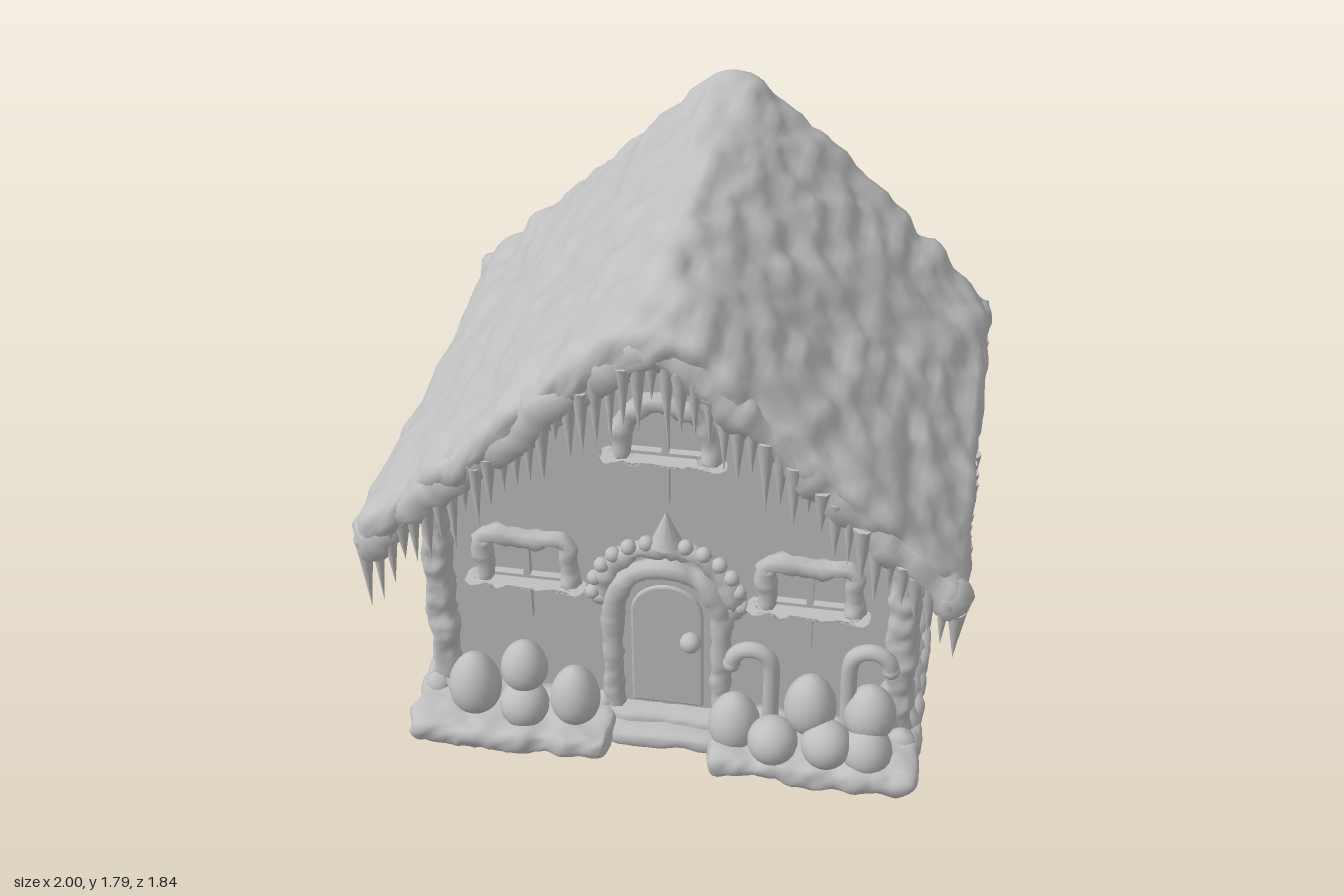
import * as THREE from 'three';
import { mergeVertices, mergeGeometries } from 'three/addons/utils/BufferGeometryUtils.js';

const icing = new THREE.MeshStandardMaterial({ color: 0xbfbfbf });
icing.name = 'grey icing';

const V = (x, y, z) => new THREE.Vector3(x, y, z);

// Smooth repeatable noise in -1..1
const hash = (x, y, z) => { const s = Math.sin(x * 127.1 + y * 311.7 + z * 74.7) * 43758.5453; return s - Math.floor(s); };
function noise(x, y, z) {
  const c = [x, y, z].map(Math.floor);
  const f = [x - c[0], y - c[1], z - c[2]].map(t => t * t * (3 - 2 * t));
  let sum = 0;
  for (let i = 0; i < 8; i++) {
    const b = [i & 1, (i >> 1) & 1, i >> 2];
    sum += hash(c[0] + b[0], c[1] + b[1], c[2] + b[2]) * b.reduce((w, k, n) => w * (k ? f[n] : 1 - f[n]), 1);
  }
  return sum * 2 - 1;
}

// Push vertices in and out along their normals, keeping everything above the ground
function rough(geo, amp, fx, fy = fx, fz = fx) {
  geo.deleteAttribute('uv');
  geo.deleteAttribute('normal');
  geo = mergeVertices(geo);
  geo.computeVertexNormals();
  const p = geo.attributes.position, n = geo.attributes.normal;
  for (let i = 0; i < p.count; i++) {
    const x = p.getX(i), y = p.getY(i), z = p.getZ(i);
    const d = amp * (noise(x * fx, y * fy, z * fz) + 0.4 * noise(x * fx * 2.3 + 9, y * fy * 2.3, z * fz * 2.3));
    p.setXYZ(i, x + n.getX(i) * d, Math.max(0, y + n.getY(i) * d), z + n.getZ(i) * d);
  }
  geo.computeVertexNormals();
  return geo;
}

// Finely divided box with rounded edges
function softBox(w, h, d, r, nx, ny, nz) {
  const geo = new THREE.BoxGeometry(w, h, d, nx, ny, nz);
  const p = geo.attributes.position, v = V(), q = V();
  const inner = V(w / 2 - r, h / 2 - r, d / 2 - r), low = inner.clone().negate();
  for (let i = 0; i < p.count; i++) {
    v.fromBufferAttribute(p, i);
    q.copy(v).clamp(low, inner);
    v.sub(q).setLength(r).add(q);
    p.setXYZ(i, v.x, v.y, v.z);
  }
  return geo;
}

function add(group, name, geo, x = 0, y = 0, z = 0) {
  const mesh = new THREE.Mesh(geo, icing);
  mesh.name = name;
  mesh.position.set(x, y, z);
  group.add(mesh);
  return mesh;
}

// Lumpy piped icing along a polyline, with round ends
function piping(group, name, pts, r, amp = r * 0.45, freq = 22) {
  const path = new THREE.CurvePath();
  for (let i = 1; i < pts.length; i++) path.add(new THREE.LineCurve3(pts[i - 1], pts[i]));
  const segs = Math.max(10, Math.ceil(path.getLength() / 0.02));
  const parts = [rough(new THREE.TubeGeometry(path, segs, r, 8, false), amp, freq)];
  for (const e of [pts[0], pts[pts.length - 1]])
    parts.push(rough(new THREE.SphereGeometry(r * 1.1, 10, 8).translate(e.x, e.y, e.z), amp, freq));
  add(group, name, mergeGeometries(parts));
}

// Outline of an opening: straight sides and an optional arch
function archPoints(hw, bottom, spring, rise, z) {
  const pts = [V(hw, bottom, z)];
  for (let i = 0; i <= 16; i++) {
    const a = i / 16 * Math.PI;
    pts.push(V(hw * Math.cos(a), spring + rise * Math.sin(a), z));
  }
  pts.push(V(-hw, bottom, z));
  return pts;
}
function archPlate(hw, bottom, spring, rise, depth) {
  const shape = new THREE.Shape(archPoints(hw, bottom, spring, rise, 0).map(p => new THREE.Vector2(p.x, p.y)));
  return new THREE.ExtrudeGeometry(shape, { depth, bevelEnabled: true, bevelSize: 0.008, bevelThickness: 0.008, bevelSegments: 2 });
}

// Window on a wall plane at z = 0, facing +z
function makeWindow(hw, hh, arched) {
  const g = new THREE.Group();
  g.name = arched ? 'archedWindow' : 'window';
  const top = arched ? archPoints(hw, -hh, hh - hw, hw * 1.1, 0.03)
    : [V(hw, -hh, 0.03), V(hw, hh, 0.03), V(-hw, hh, 0.03), V(-hw, -hh, 0.03)];
  piping(g, 'windowFrame', top, 0.034);
  piping(g, 'windowSill', [V(-hw - 0.02, -hh, 0.045), V(hw + 0.02, -hh, 0.045)], 0.04);
  add(g, 'windowPost', new THREE.BoxGeometry(0.022, hh * 2, 0.03), 0, 0, 0.012);
  add(g, 'windowBar', new THREE.BoxGeometry(hw * 2, 0.024, 0.03), 0, 0, 0.012);
  return g;
}

// Front or back face: door, trims and three windows
function makeFacade() {
  const g = new THREE.Group();
  g.name = 'facade';
  add(g, 'door', archPlate(0.16, 0.06, 0.5, 0.16, 0.02));
  add(g, 'doorPanel', archPlate(0.115, 0.11, 0.5, 0.115, 0.03));
  add(g, 'doorKnob', new THREE.SphereGeometry(0.036, 16, 12), 0.085, 0.415, 0.065);
  add(g, 'doorStep', rough(softBox(0.4, 0.06, 0.17, 0.025, 16, 4, 8).translate(0, 0.03, 0.08), 0.008, 14));
  piping(g, 'doorFrame', archPoints(0.185, 0.06, 0.5, 0.2, 0.035), 0.036, 0.01);
  piping(g, 'doorArch', archPoints(0.225, 0.55, 0.56, 0.215, 0.02), 0.034);
  for (let i = 0; i <= 12; i++) {
    const a = i / 12 * Math.PI;
    add(g, 'archBead', new THREE.SphereGeometry(0.027, 10, 8), 0.25 * Math.cos(a), 0.57 + 0.235 * Math.sin(a), 0.035);
  }
  add(g, 'archDollop', new THREE.ConeGeometry(0.055, 0.13, 10), 0, 0.86, 0.02);
  for (const s of [-1, 1]) {
    const w = makeWindow(0.145, 0.175, false);
    w.position.set(s * 0.475, 0.59, 0);
    g.add(w);
    piping(g, 'gableTrim', [V(s * 0.77, 0.9, 0.01), V(s * 0.03, 1.54, 0.01)], 0.035);
  }
  const top = makeWindow(0.145, 0.19, true);
  top.position.set(0, 1.15, 0);
  g.add(top);
  return g;
}

const roofTop = x => 1.78 - 0.97 * (Math.hypot(x, 0.1) - 0.1);
const roofDepth = x => 0.19 - 0.05 * Math.abs(x);

function makeRoof() {
  const g = new THREE.Group();
  g.name = 'roof';
  // Thick blanket bent over the ridge
  const geo = softBox(1.95, 0.2, 1.76, 0.07, 84, 8, 76);
  const p = geo.attributes.position;
  for (let i = 0; i < p.count; i++) {
    const x = p.getX(i);
    p.setY(i, roofTop(x) + (p.getY(i) / 0.2 - 0.5) * roofDepth(x));
  }
  add(g, 'roofBlanket', rough(geo, 0.022, 13, 13, 6));
  // Thick rolls on the gable edges
  for (const s of [-1, 1]) {
    const pts = [];
    for (let i = 0; i <= 28; i++) {
      const x = -0.93 + 1.86 * i / 28;
      pts.push(V(x, roofTop(x) - 0.12, s * 0.825));
    }
    piping(g, 'gableIcing', pts, 0.068, 0.024, 13);
  }
  // Hanging icicles
  const icicle = (x, y, z, len, r) => {
    const cone = new THREE.ConeGeometry(r, len, 7, 3);
    cone.rotateX(Math.PI);
    add(g, 'icicle', cone, x, y - len / 2, z);
  };
  for (const s of [-1, 1]) {
    for (let i = 0; i <= 44; i++) {
      const x = -0.95 + 1.9 * i / 44;
      icicle(x, roofTop(x) - 0.13, s * (0.85 + 0.02 * hash(i, s, 1)), 0.13 + 0.15 * hash(i, s, 2), 0.024 + 0.01 * hash(i, s, 3));
    }
    for (let i = 0; i <= 30; i++)
      icicle(s * (0.945 + 0.02 * hash(i, s, 5)), 0.84, -0.84 + 1.68 * i / 30, 0.09 + 0.1 * hash(i, s, 6), 0.025);
    for (const z of [-0.85, 0.85]) icicle(s * 0.955, 0.85, z, 0.2, 0.035);
  }
  return g;
}

// Candies in front: eggs as [x, bottom, z, radius, height]
function makeCandies() {
  const g = new THREE.Group();
  g.name = 'candies';
  const eggs = [[-0.65, 0.08, 0.77, 0.09, 0.24], [-0.475, 0.2, 0.76, 0.08, 0.19], [-0.3, 0.08, 0.77, 0.085, 0.23],
    [-0.475, 0.06, 0.79, 0.085, 0.17], [0.245, 0.04, 0.76, 0.088, 0.22], [0.5, 0.14, 0.75, 0.088, 0.23],
    [0.7, 0.15, 0.75, 0.088, 0.2], [0.7, 0.05, 0.81, 0.085, 0.18], [0.385, 0.06, 0.83, 0.085, 0.17], [0.565, 0.07, 0.83, 0.085, 0.17]];
  for (const [x, y, z, r, h] of eggs) {
    const egg = new THREE.SphereGeometry(1, 20, 16);
    const p = egg.attributes.position;
    for (let i = 0; i < p.count; i++) {
      const k = 1 - 0.14 * p.getY(i) * (h > 2.1 * r ? 1 : 0);
      p.setXYZ(i, p.getX(i) * r * k, p.getY(i) * h / 2, p.getZ(i) * r * k);
    }
    egg.computeVertexNormals();
    add(g, 'gumdrop', egg, x, y + h / 2, z);
  }
  // Canes: stem x, direction of the hook, top height
  for (const [x, s, top] of [[0.365, -1, 0.475], [0.625, 1, 0.52]]) {
    const pts = [V(x, 0.08, 0.74), V(x, 0.25, 0.74)];
    for (let i = 0; i <= 6; i++) {
      const a = i / 6 * Math.PI;
      pts.push(V(x + s * 0.067 * (1 - Math.cos(a)), top - 0.09 + 0.07 * Math.sin(a), 0.74));
    }
    const curve = new THREE.CatmullRomCurve3(pts);
    add(g, 'candyCane', new THREE.TubeGeometry(curve, 40, 0.028, 10));
    const e = pts[pts.length - 1];
    add(g, 'caneTip', new THREE.SphereGeometry(0.03, 12, 10), e.x, e.y, e.z);
  }
  // Snowy mounds under the candies
  for (const x of [-0.52, 0.52])
    add(g, 'mound', rough(softBox(0.7, 0.1, 0.28, 0.045, 36, 6, 16).translate(x, 0.05, 0.765), 0.018, 15));
  return g;
}

export function createModel() {
  const model = new THREE.Group();
  model.name = 'icedCottage';

  // Walls with gables
  const wall = new THREE.Shape([[-0.78, 0.03], [0.78, 0.03], [0.78, 0.97], [0, 1.66], [-0.78, 0.97]].map(([x, y]) => new THREE.Vector2(x, y)));
  add(model, 'walls', new THREE.ExtrudeGeometry(wall, { depth: 1.26, bevelEnabled: false }), 0, 0, -0.63);

  // Base slab and piping around it
  add(model, 'base', rough(softBox(1.74, 0.09, 1.46, 0.03, 70, 4, 60).translate(0, 0.045, 0), 0.008, 16));
  for (const s of [-1, 1]) {
    piping(model, 'baseIcing', [V(s * 0.81, 0.08, -0.68), V(s * 0.81, 0.08, 0.68)], 0.045, 0.014, 18);
    piping(model, 'baseIcing', [V(-0.81, 0.08, s * 0.67), V(-0.22, 0.08, s * 0.67)], 0.04, 0.014, 18);
    piping(model, 'baseIcing', [V(0.22, 0.08, s * 0.67), V(0.81, 0.08, s * 0.67)], 0.04, 0.014, 18);
    // Corner posts
    for (const t of [-1, 1])
      add(model, 'cornerPost', rough(softBox(0.1, 0.9, 0.1, 0.035, 6, 50, 6).translate(s * 0.785, 0.5, t * 0.632), 0.014, 20));
    // Side windows with an icing drip below
    const w = makeWindow(0.2, 0.175, false);
    add(w, 'windowDrip', new THREE.ConeGeometry(0.1, 0.12, 12).rotateX(Math.PI).scale(1, 1, 0.6), 0, -0.25, 0.01);
    w.position.set(s * 0.78, 0.525, 0);
    w.rotation.y = s * Math.PI / 2;
    model.add(w);
    // Front and back faces
    const facade = makeFacade();
    facade.position.z = s * 0.63;
    facade.rotation.y = s > 0 ? 0 : Math.PI;
    model.add(facade);
  }

  model.add(makeRoof(), makeCandies());
  return model;
}
